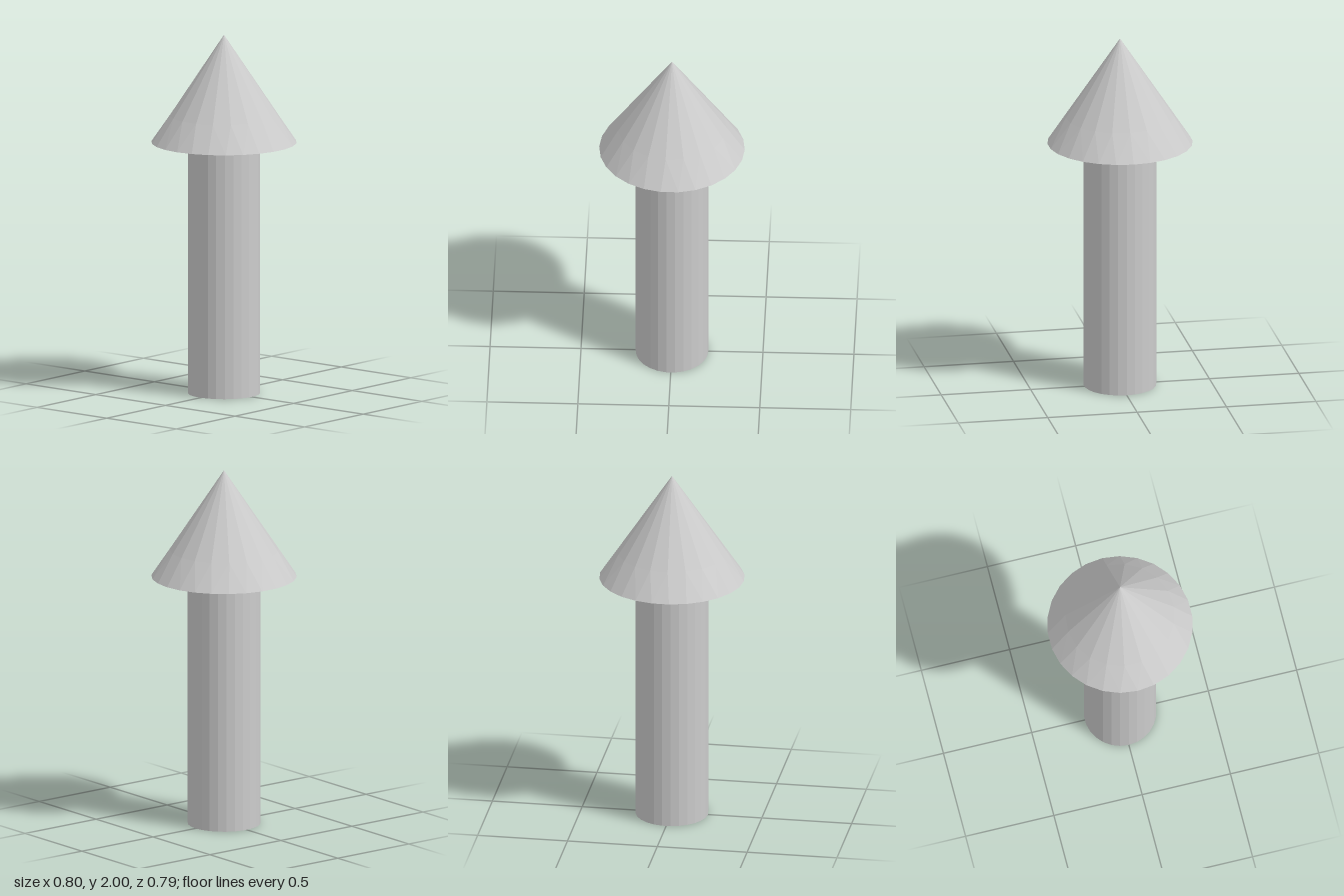
import * as THREE from 'three';

const SIDES = 26;        // facets of the shaft and the rim of the head
const UPPER_SIDES = 19;  // facets running up to the tip
const SHAFT_R = 0.2, HEAD_R = 0.4, UPPER_R = 0.3;
const BASE_Y = 1.4, UPPER_Y = 1.55, TIP_Y = 2;

// Point on a level ring, counter-clockwise seen from above
function ringPoint(radius, y, i, count) {
  const a = (i % count) / count * Math.PI * 2;
  return new THREE.Vector3(radius * Math.cos(a), y, -radius * Math.sin(a));
}

// Cone whose rim has more facets than its upper part
function coneGeometry() {
  const points = [];
  const rim = i => ringPoint(HEAD_R, BASE_Y, i, SIDES);
  const upper = j => ringPoint(UPPER_R, UPPER_Y, j, UPPER_SIDES);
  const tip = new THREE.Vector3(0, TIP_Y, 0);

  // Lower band: stitch the two rings, always advancing the one that lags
  let i = 0, j = 0;
  while (i < SIDES || j < UPPER_SIDES) {
    if (j === UPPER_SIDES || (i < SIDES && (i + 0.5) / SIDES <= (j + 0.5) / UPPER_SIDES)) {
      points.push(rim(i), rim(i + 1), upper(j));
      i++;
    } else {
      points.push(rim(i), upper(j + 1), upper(j));
      j++;
    }
  }
  // Upper fan to the tip
  for (let k = 0; k < UPPER_SIDES; k++) points.push(upper(k), upper(k + 1), tip);

  const geometry = new THREE.BufferGeometry().setFromPoints(points);
  geometry.computeVertexNormals();
  return geometry;
}

export function createModel() {
  const group = new THREE.Group();
  group.name = 'arrow';
  const material = new THREE.MeshStandardMaterial({ color: 0xcccccc, flatShading: true });
  const add = (name, geometry, parent) => {
    const mesh = new THREE.Mesh(geometry, material);
    mesh.name = name;
    parent.add(mesh);
  };

  // Shaft: open wall plus bottom disc, with a corner on the x axis
  const shaft = new THREE.Group();
  shaft.name = 'shaft';
  add('shaftWall', new THREE.CylinderGeometry(SHAFT_R, SHAFT_R, BASE_Y, SIDES, 1, true)
    .rotateY(Math.PI / 2).translate(0, BASE_Y / 2, 0), shaft);
  add('shaftBottom', new THREE.CircleGeometry(SHAFT_R, SIDES).rotateX(Math.PI / 2), shaft);

  // Head: cone with a flat underside around the shaft
  const head = new THREE.Group();
  head.name = 'head';
  add('headCone', coneGeometry(), head);
  add('headUnderside', new THREE.RingGeometry(SHAFT_R, HEAD_R, SIDES)
    .rotateX(Math.PI / 2).translate(0, BASE_Y, 0), head);

  group.add(shaft, head);
  return group;
}
